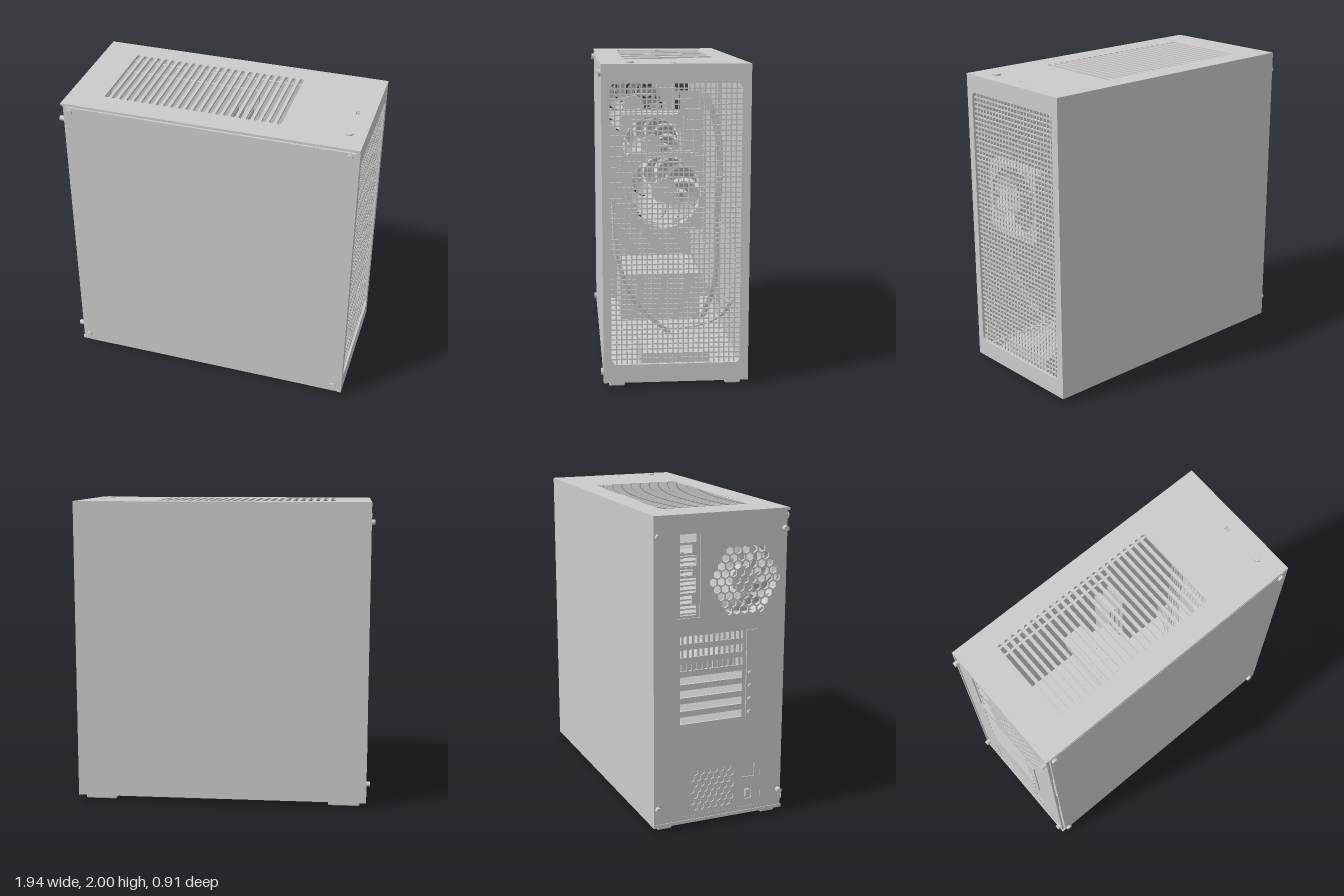
import * as THREE from 'three';
import { RoundedBoxGeometry } from 'three/addons/geometries/RoundedBoxGeometry.js';

const grey = new THREE.MeshStandardMaterial({ color: 0xcccccc });
const thin = new THREE.MeshStandardMaterial({ color: 0xcccccc, side: THREE.DoubleSide });

function add(parent, name, geometry, x = 0, y = 0, z = 0, material = grey) {
  const mesh = new THREE.Mesh(geometry, material);
  mesh.name = name;
  mesh.position.set(x, y, z);
  parent.add(mesh);
  return mesh;
}

// Box from its limits on each axis
function box(parent, name, [x0, x1], [y0, y1], [z0, z1]) {
  return add(parent, name, new THREE.BoxGeometry(x1 - x0, y1 - y0, z1 - z0),
    (x0 + x1) / 2, (y0 + y1) / 2, (z0 + z1) / 2);
}

// Rounded rectangle outline (r = 0 gives sharp corners)
function rect(a0, a1, b0, b1, r = 0, Type = THREE.Path) {
  const p = new Type();
  if (!r) {
    p.moveTo(a0, b0).lineTo(a1, b0).lineTo(a1, b1).lineTo(a0, b1).closePath();
    return p;
  }
  p.absarc(a1 - r, b0 + r, r, -Math.PI / 2, 0);
  p.absarc(a1 - r, b1 - r, r, 0, Math.PI / 2);
  p.absarc(a0 + r, b1 - r, r, Math.PI / 2, Math.PI);
  p.absarc(a0 + r, b0 + r, r, Math.PI, Math.PI * 1.5);
  p.closePath();
  return p;
}

function polygon(cx, cy, r, sides, turn = 0) {
  return new THREE.Path(Array.from({ length: sides }, (_, i) => {
    const a = turn + i * 2 * Math.PI / sides;
    return new THREE.Vector2(cx + r * Math.cos(a), cy + r * Math.sin(a));
  })).closePath();
}

// Honeycomb of hexagon holes kept where inside(a, b) holds
function honeycomb(cx, cy, w, h, pitch, inside) {
  const holes = [], row = pitch * 0.866;
  const n = Math.ceil(h / row), m = Math.ceil(w / pitch);
  for (let j = -n; j <= n; j++) for (let i = -m; i <= m; i++) {
    const a = (i + (Math.abs(j) % 2) / 2) * pitch, b = j * row;
    if (inside(a, b)) holes.push(polygon(cx + a, cy + b, pitch * 0.47, 6, Math.PI / 6));
  }
  return holes;
}

function sheet(outline, holes, depth) {
  outline.holes = holes;
  return new THREE.ExtrudeGeometry(outline, { depth, bevelEnabled: false, curveSegments: 6 });
}

// Sheet drawn in (z, y), its outer face at x and its thickness towards -x
function wallX(parent, name, x, outline, holes, depth) {
  const m = add(parent, name, sheet(outline, holes, depth), x);
  m.rotation.y = -Math.PI / 2;
  return m;
}

// Disc or knob along a chosen axis
function knob(parent, name, r, len, axis, x, y, z) {
  const m = add(parent, name, new THREE.CylinderGeometry(r, r, len, 20), x, y, z);
  if (axis === 'x') m.rotation.z = Math.PI / 2;
  if (axis === 'z') m.rotation.x = Math.PI / 2;
  return m;
}

// Case fan: square frame, round opening, hub and swept blades
function fan(parent, name, size, x, y, z) {
  const g = new THREE.Group(), h = size / 2, depth = 0.08;
  g.name = name;
  const outline = rect(-h, h, -h, h, 0.03, THREE.Shape);
  add(g, 'fanFrame', sheet(outline, [polygon(0, 0, h * 0.94, 40)], depth), 0, 0, -depth / 2);
  const hub = add(g, 'fanHub', new THREE.CylinderGeometry(h * 0.33, h * 0.33, depth * 0.9, 24));
  hub.rotation.x = Math.PI / 2;
  const blade = new THREE.PlaneGeometry(1, 1, 6, 4), p = blade.attributes.position;
  for (let i = 0; i < p.count; i++) {
    const u = p.getX(i) + 0.5, v = p.getY(i);
    const r = h * (0.3 + 0.58 * u), a = v * 0.55 + u * u * 0.6;
    p.setXYZ(i, r * Math.cos(a), r * Math.sin(a), v * depth * 0.8);
  }
  blade.computeVertexNormals();
  for (let i = 0; i < 9; i++)
    add(g, 'fanBlade', blade, 0, 0, 0, thin).rotation.z = i * 2 * Math.PI / 9;
  g.position.set(x, y, z);
  g.rotation.y = -Math.PI / 2;
  parent.add(g);
}

function cable(parent, points, offset, r = 0.008) {
  const curve = new THREE.CatmullRomCurve3(points.map(([x, y, z]) =>
    new THREE.Vector3(x + offset, y, z + offset * 0.6)));
  add(parent, 'cable', new THREE.TubeGeometry(curve, 32, r, 6));
}

export function createModel() {
  const g = new THREE.Group();
  g.name = 'computerCase';

  // Outer shell
  box(g, 'bottomPanel', [-0.945, 0.945], [0.035, 0.055], [-0.455, 0.435]);
  box(g, 'solidSidePanel', [-0.948, 0.945], [0.036, 1.975], [-0.455, -0.44]);
  box(g, 'sidePanel', [-0.92, 0.94], [0.06, 1.965], [0.425, 0.44]);
  for (const y of [0.075, 1.945]) box(g, 'sideRail', [-0.935, 0.945], [y - 0.02, y + 0.02], [0.395, 0.42]);

  // Top panel with rounded vent slots, power button and two small ports
  const slots = Array.from({ length: 24 }, (_, i) => {
    const x = -0.701 + i * 0.049;
    return rect(x - 0.014, x + 0.014, -0.312, 0.283, 0.0139);
  });
  for (const x of [0.853, 0.867]) slots.push(rect(x - 0.004, x + 0.004, -0.015, 0.022));
  const top = add(g, 'topPanel',
    sheet(rect(-0.948, 0.965, -0.455, 0.44, 0, THREE.Shape), slots, 0.016), 0, 1.99, 0);
  top.rotation.x = Math.PI / 2;
  knob(g, 'powerButton', 0.026, 0.02, 'y', 0.86, 1.99, 0.265);

  // Front frame and its mesh of crossing bars
  wallX(g, 'frontFrame', 0.965, rect(-0.455, 0.44, 0.035, 1.975, 0, THREE.Shape),
    [rect(-0.4, 0.39, 0.15, 1.875, 0.03)], 0.025);
  for (let i = 1; i < 25; i++) {
    const z = -0.4 + i * 0.79 / 25;
    box(g, 'meshBar', [0.945, 0.951], [0.145, 1.88], [z - 0.0045, z + 0.0045]);
  }
  for (let i = 1; i < 55; i++) {
    const y = 0.15 + i * 1.725 / 55;
    box(g, 'meshBar', [0.944, 0.952], [y - 0.0045, y + 0.0045], [-0.405, 0.395]);
  }

  // Rear wall with fan grille, port window, card slots and power supply opening
  const rear = honeycomb(0.15, 1.565, 0.5, 0.5, 0.054, (a, b) => Math.hypot(a, b) < 0.225);
  rear.push(rect(-0.3, -0.15, 1.36, 1.87), rect(-0.29, 0.28, 0.08, 0.41));
  const slotY = Array.from({ length: 7 }, (_, i) => 0.715 + i * 0.085);
  for (const y of slotY) rear.push(rect(-0.28, 0.14, y - 0.024, y + 0.024));
  wallX(g, 'rearWall', -0.925, rect(-0.44, 0.425, 0.055, 1.975, 0, THREE.Shape), rear, 0.015);

  // Port plate: a column of sockets
  const ports = [];
  [0.06, 0.05, 0.09, 0.04, 0.07, 0.05, 0.05].reduce((y, h, i) => {
    ports.push(rect(-0.28, i % 2 ? -0.2 : -0.175, y, y + h));
    return y + h + 0.014;
  }, 1.375);
  wallX(g, 'portPlate', -0.925, rect(-0.3, -0.15, 1.36, 1.87, 0, THREE.Shape), ports, 0.008);

  // Vented covers on the upper card slots, screws beside the lower ones
  slotY.forEach((y, i) => {
    if (i > 3) for (let k = 0; k < 12; k++) {
      const z = -0.262 + k * 0.035;
      box(g, 'slotCover', [-0.935, -0.925], [y - 0.024, y + 0.024], [z - 0.007, z + 0.007]);
    }
    else knob(g, 'slotScrew', 0.014, 0.025, 'x', -0.95, y + 0.005, 0.19);
  });
  box(g, 'slotBracket', [-0.948, -0.938], [0.69, 1.25], [0.165, 0.235]);

  // Power supply with honeycomb vent, socket and switch
  wallX(g, 'powerSupplyFace', -0.93, rect(-0.29, 0.28, 0.08, 0.41, 0, THREE.Shape),
    [...honeycomb(-0.06, 0.245, 0.34, 0.28, 0.045,
      (a, b) => Math.abs(a) < 0.15 && Math.abs(b) < 0.125),
    rect(0.15, 0.24, 0.28, 0.37), rect(0.17, 0.22, 0.13, 0.2)], 0.008);
  box(g, 'powerSwitch', [-0.938, -0.92], [0.14, 0.19], [0.18, 0.21]);
  box(g, 'powerSupply', [-0.88, -0.25], [0.075, 0.415], [-0.29, 0.28]);

  // Corner screws of the side panel, rear thumbscrews, feet
  for (const x of [-0.892, 0.905]) for (const y of [0.09, 1.935])
    knob(g, 'panelScrew', 0.021, 0.02, 'z', x, y, 0.446);
  for (const z of [-0.43, 0.41]) for (const y of [0.16, 1.865])
    knob(g, 'thumbScrew', 0.017, 0.035, 'x', -0.953, y, z);
  for (const x of [-0.802, 0.82]) for (const z of [-0.365, 0.357])
    add(g, 'foot', new RoundedBoxGeometry(0.208, 0.04, 0.1, 2, 0.01), x, 0.02, z);

  // Inside: tray, board, cooler, graphics card, drive cage
  box(g, 'boardTray', [-0.92, 0.6], [0.42, 1.95], [-0.315, -0.3]);
  box(g, 'mainBoard', [-0.9, 0.15], [0.62, 1.88], [-0.285, -0.27]);
  box(g, 'graphicsCard', [-0.9, 0.15], [0.98, 1.07], [-0.27, 0.1]);
  for (let i = 0; i < 14; i++) {
    const y = 1.17 + i * 0.032;
    box(g, 'coolerFin', [-0.28, -0.1], [y, y + 0.01], [-0.14, 0.28]);
  }
  for (const z of [-0.05, 0.05, 0.15]) knob(g, 'heatPipe', 0.018, 0.46, 'y', -0.19, 1.38, z);
  box(g, 'coolerBase', [-0.26, -0.12], [1.3, 1.46], [-0.27, -0.14]);
  for (let i = 0; i < 4; i++) {
    const x = 0.0 + i * 0.035;
    box(g, 'memoryStick', [x, x + 0.01], [1.2, 1.75], [-0.27, -0.12]);
  }
  box(g, 'driveCage', [0.45, 0.9], [0.055, 0.2], [-0.22, 0.2]);
  fan(g, 'coolerFan', 0.42, -0.05, 1.38, 0.07);
  fan(g, 'rearFan', 0.48, -0.875, 1.565, 0.15);
  fan(g, 'frontFan', 0.47, 0.88, 1.22, 0.06);

  // Cable bundles
  for (let i = 0; i < 5; i++) {
    const o = i * 0.016;
    cable(g, [[0.6, 1.94, -0.06], [0.7, 1.82, -0.2], [0.72, 1.55, -0.3], [0.72, 1.0, -0.3],
      [0.7, 0.6, -0.29], [0.65, 0.36, -0.22]], o);
    cable(g, [[0.5, 0.26, -0.02], [0.6, 0.3, -0.2], [0.65, 0.37, -0.34], [0.6, 0.45, -0.41]], o);
  }
  for (const o of [0, 0.018])
    cable(g, [[0.7, 1.13, 0.36], [0.75, 0.8, 0.34], [0.72, 0.49, 0.23], [0.65, 0.25, 0.0]], o);

  return g;
}
